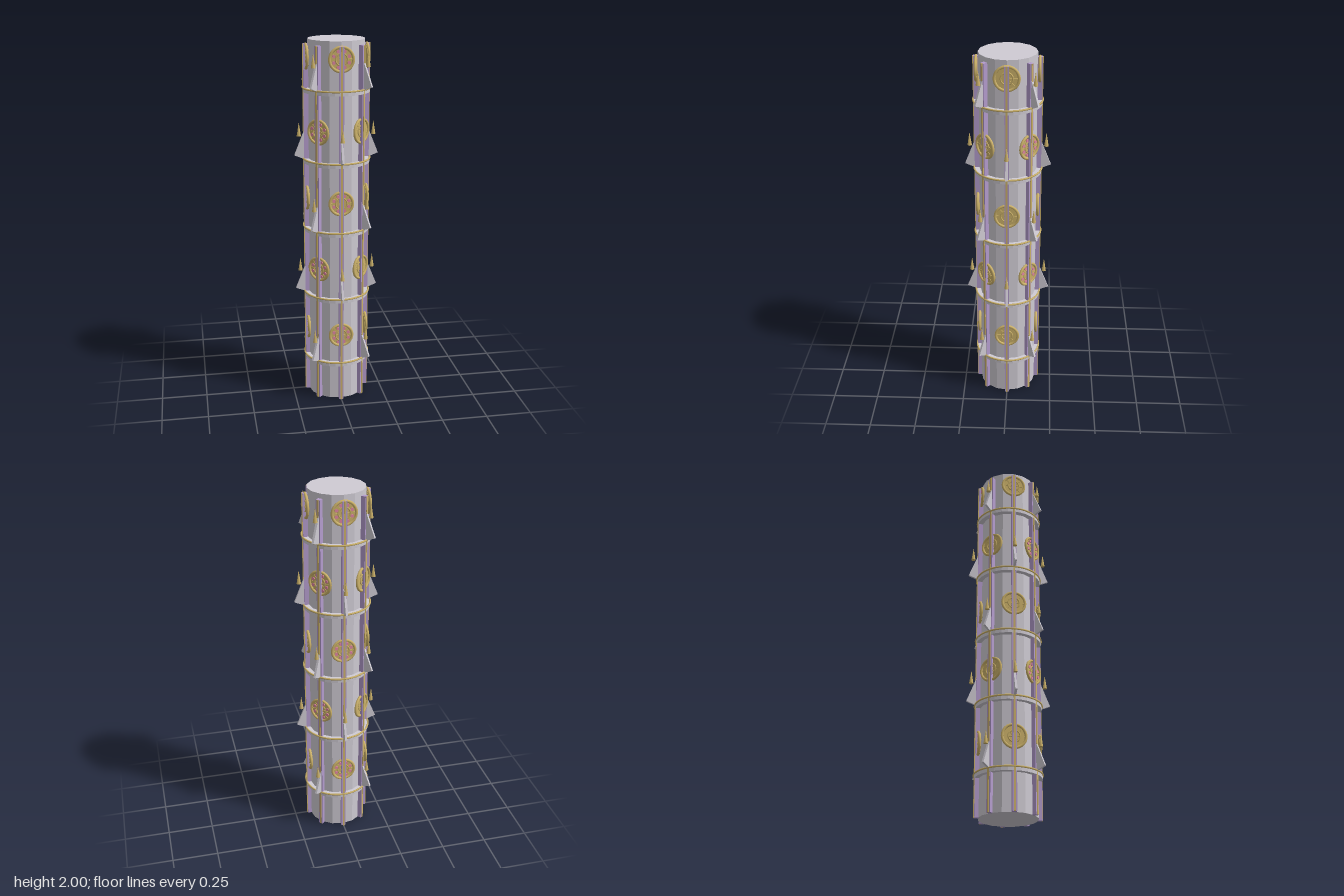
import * as THREE from 'three';

export function createModel() {
  const mat = (name, color, flat = false) => {
    const m = new THREE.MeshStandardMaterial({ color, flatShading: flat });
    m.name = name;
    return m;
  };
  const stone = mat('pale stone', 0xcfcbd3, true);
  const violet = mat('violet', 0xb49ccd);
  const gold = mat('gold', 0xccb26a);
  const rose = mat('rose', 0xdf86a2);

  const root = new THREE.Group();
  root.name = 'column';
  const add = (parent, name, geo, material, x = 0, y = 0, z = 0) => {
    const m = new THREE.Mesh(geo, material);
    m.name = name;
    m.position.set(x, y, z);
    parent.add(m);
    return m;
  };
  // Group turned to one of the eight faces; its local +z points outward
  const face = (name, k, y = 0) => {
    const g = new THREE.Group();
    g.name = name;
    g.rotation.y = k * Math.PI / 4;
    g.position.y = y;
    root.add(g);
    return g;
  };

  // Shaft
  add(root, 'shaft', new THREE.CylinderGeometry(0.152, 0.157, 2, 16), stone, 0, 1, 0);

  // Vertical ribs with a gold strip
  const ribGeo = new THREE.BoxGeometry(0.024, 1.975, 0.026);
  const stripGeo = new THREE.BoxGeometry(0.01, 1.975, 0.006);
  for (let k = 0; k < 8; k++) {
    const g = face('rib', k);
    add(g, 'ribBody', ribGeo, violet, 0, 0.9875, 0.163);
    add(g, 'ribStrip', stripGeo, gold, 0, 0.9875, 0.177);
  }

  // Horizontal bands with gold edging
  const bandGeo = new THREE.CylinderGeometry(0.179, 0.179, 0.022, 32);
  const edgeGeo = new THREE.TorusGeometry(0.18, 0.005, 6, 48).rotateX(Math.PI / 2);
  for (let i = 0; i < 5; i++) {
    const y = 0.216 + i * 0.38;
    add(root, 'band', bandGeo, stone, 0, y, 0);
    add(root, 'bandEdge', edgeGeo, gold, 0, y + 0.011, 0);
  }

  // Round windows: rim, pane, spokes and hub
  const rimGeo = new THREE.TorusGeometry(0.062, 0.0075, 8, 32);
  const paneGeo = new THREE.CylinderGeometry(0.06, 0.06, 0.008, 32).rotateX(Math.PI / 2);
  const innerGeo = new THREE.TorusGeometry(0.031, 0.004, 6, 24);
  const hubGeo = new THREE.CylinderGeometry(0.014, 0.014, 0.012, 16).rotateX(Math.PI / 2);
  const spokeGeo = new THREE.BoxGeometry(0.006, 0.116, 0.007);
  const petalGeo = new THREE.CylinderGeometry(0.009, 0.009, 0.01, 10).rotateX(Math.PI / 2);
  const addWindow = (k, y) => {
    const g = face('roundWindow', k, y);
    const isRose = k % 4 === 0 || k % 4 === 3;
    add(g, 'rim', rimGeo, gold, 0, 0, 0.162);
    add(g, 'pane', paneGeo, gold, 0, 0, 0.157);
    add(g, 'innerRing', innerGeo, gold, 0, 0, 0.163);
    add(g, 'hub', hubGeo, gold, 0, 0, 0.161);
    for (let s = 0; s < 4; s++) {
      add(g, 'spoke', spokeGeo, gold, 0, 0, 0.16).rotation.z = s * Math.PI / 4;
    }
    if (isRose) for (let s = 0; s < 8; s++) {
      const a = (s + 0.5) * Math.PI / 4;
      add(g, 'petal', petalGeo, rose, 0.043 * Math.cos(a), 0.043 * Math.sin(a), 0.161);
    }
  };

  // Slanted buttress with a floating pinnacle
  const finGeo = new THREE.BoxGeometry(0.012, 0.15, 0.06);
  const coneGeo = new THREE.ConeGeometry(0.012, 0.075, 8);
  const addButtress = (k, y) => {
    const g = face('buttress', k, y);
    add(g, 'fin', finGeo, stone, 0, -0.087, 0.172).rotation.x = -0.38;
    add(g, 'pinnacle', coneGeo, gold, 0, -0.005, 0.202);
  };

  // Five tiers, windows and buttresses trading places each tier
  for (let i = 0; i < 5; i++) {
    const y = 0.39 + i * 0.38;
    for (let k = 0; k < 8; k++) {
      if (k % 2 === i % 2) addWindow(k, y);
      else addButtress(k, y);
    }
  }
  return root;
}
